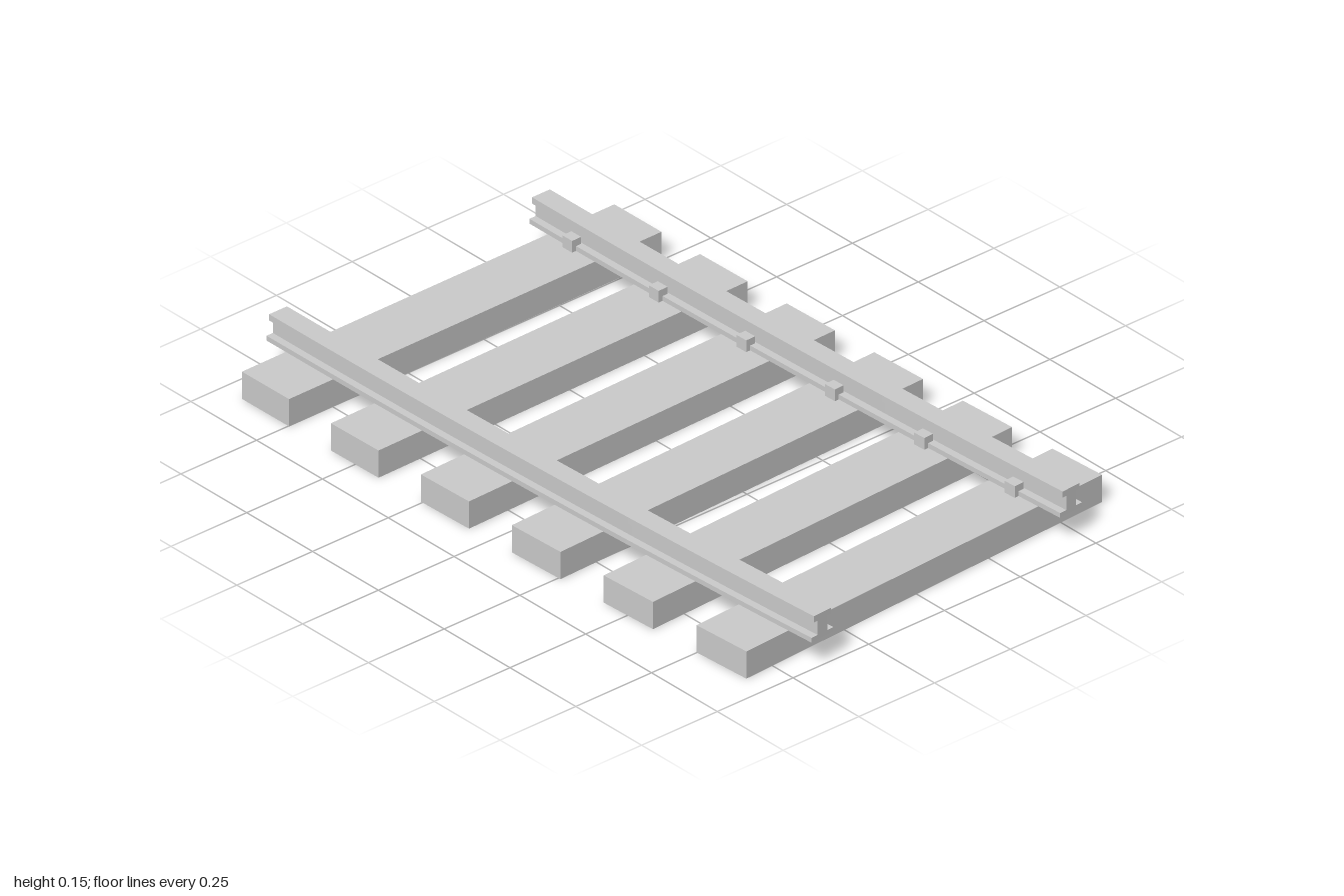
import * as THREE from 'three';

const R = 33;          // radius of the track's gentle curve
const MID = -0.028;    // x of the centre line at the back end
const SWEEP = Math.asin(2 / (R + 0.45));
const GAUGE = 0.434;   // rail offset from the centre line
const TIE_H = 0.079;
const material = new THREE.MeshStandardMaterial({ color: 0xcccccc, flatShading: true });

// Point on the curved track: sideways offset and angle along the arc
function onTrack(offset, angle, y) {
  const r = R - offset;
  return new THREE.Vector3(MID + R - r * Math.cos(angle), y, -1 + r * Math.sin(angle));
}

// Box set on the track and turned to follow it
function trackBox(name, w, h, d, offset, angle, y, twist = 0) {
  const mesh = new THREE.Mesh(new THREE.BoxGeometry(w, h, d), material);
  mesh.name = name;
  mesh.position.copy(onTrack(offset, angle, y));
  mesh.rotation.y = angle + twist;
  return mesh;
}

// I-section rail, extruded and bent along the arc
function makeRail(name, offset) {
  const base = 0.038, web = 0.017, head = 0.0295;
  const y = [TIE_H, 0.093, 0.134, 0.152];
  const half = [[base, y[0]], [base, y[1]], [web, y[1]], [web, y[2]], [head, y[2]], [head, y[3]]];
  const mirrored = half.map(([x, h]) => [-x, h]).reverse();
  const shape = new THREE.Shape([...half, ...mirrored].map(([x, h]) => new THREE.Vector2(x, h)));
  const geometry = new THREE.ExtrudeGeometry(shape, { depth: 1, steps: 12, bevelEnabled: false });
  const pos = geometry.attributes.position;
  for (let i = 0; i < pos.count; i++) {
    const p = onTrack(offset + pos.getX(i), pos.getZ(i) * SWEEP, pos.getY(i));
    pos.setXYZ(i, p.x, p.y, p.z);
  }
  geometry.computeVertexNormals();
  const mesh = new THREE.Mesh(geometry, material);
  mesh.name = name;
  return mesh;
}

export function createModel() {
  const track = new THREE.Group();
  track.name = 'curvedTrack';

  track.add(makeRail('rightRail', -GAUGE), makeRail('leftRail', GAUGE));

  // Sleepers, each with a clip on the inner foot of both rails
  for (let i = 0; i < 6; i++) {
    const angle = 0.00485 + i * 0.00997;
    track.add(trackBox('sleeper', 1.235, TIE_H, 0.178, 0, angle, TIE_H / 2));
    const twist = i === 5 ? 0.2 : 0; // the last clip sits slightly askew
    track.add(trackBox('rightRailClip', 0.03, 0.034, 0.037, -GAUGE + 0.043, angle, TIE_H + 0.017, twist));
    track.add(trackBox('leftRailClip', 0.03, 0.034, 0.037, GAUGE - 0.036, angle, TIE_H + 0.017));
  }
  return track;
}
